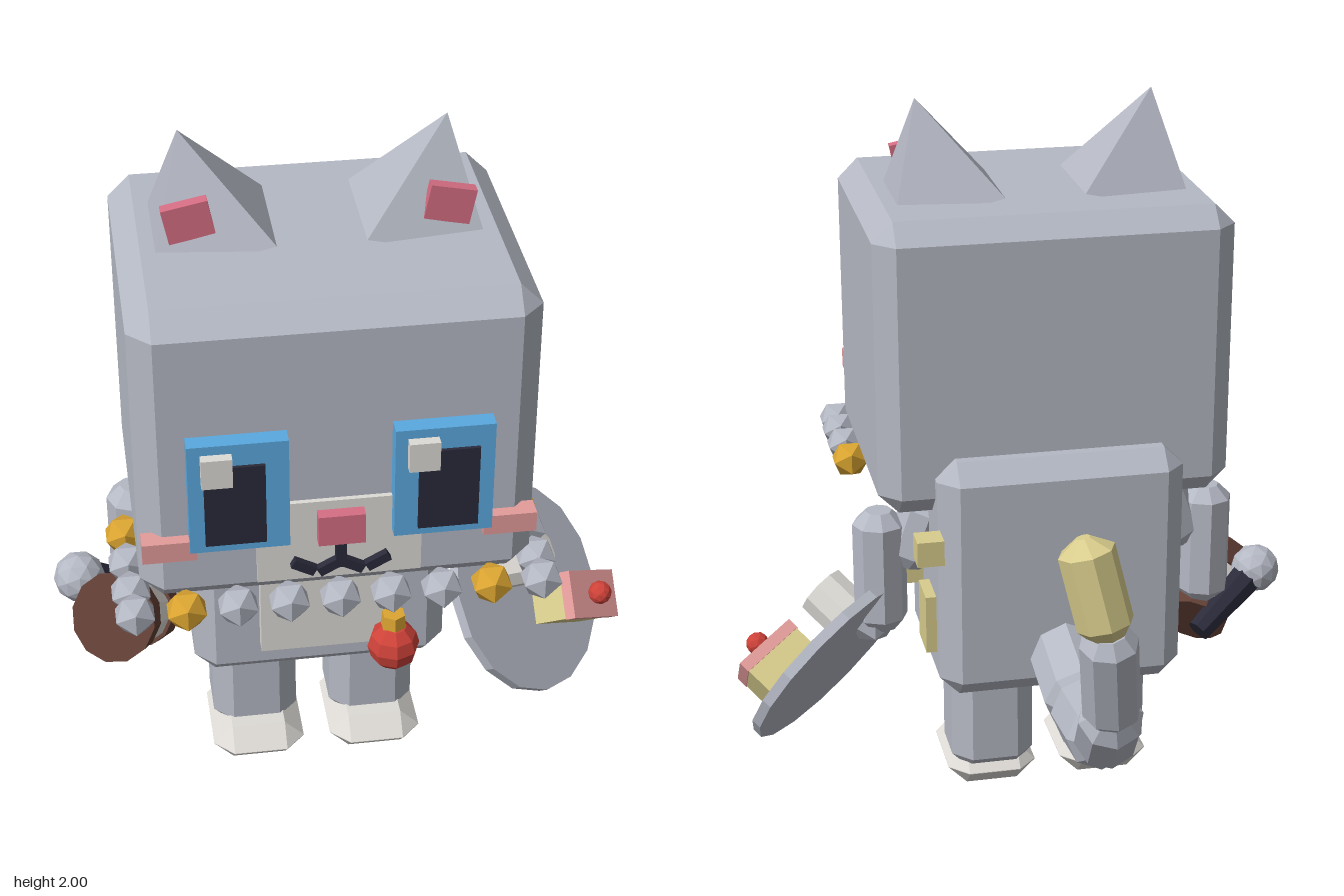
import * as THREE from 'three';
import { ConvexGeometry } from 'three/addons/geometries/ConvexGeometry.js';

const C = -0.087; // the body's own middle line
const V = (x, y, z) => new THREE.Vector3(x, y, z);
const UP = V(0, 1, 0);

export function createModel() {
  const root = new THREE.Group();
  root.name = 'boxyCat';
  const paint = (name, color) => {
    const m = new THREE.MeshStandardMaterial({ color });
    m.name = name;
    return m;
  };
  const grey = paint('greyFur', 0xb5b9c4), white = paint('cream', 0xdedbd6);
  const blue = paint('eyeBlue', 0x5aa9e0), dark = paint('nearBlack', 0x2a2a3a);
  const pink = paint('rosePink', 0xd66e84), blush = paint('blush', 0xe39c9a);
  const gold = paint('gold', 0xdba531), red = paint('red', 0xce4239);
  const khaki = paint('straw', 0xd8cc8c), brown = paint('brown', 0x613f35);

  const add = (name, geo, mat, pos = V(0, 0, 0), parent = root) => {
    const g = geo.index ? geo.toNonIndexed() : geo;
    g.computeVertexNormals(); // one normal per facet
    const m = new THREE.Mesh(g, mat);
    m.name = name;
    m.position.copy(pos);
    parent.add(m);
    return m;
  };
  // Box from its limits
  const box = (name, mat, x0, x1, y0, y1, z0, z1) =>
    add(name, new THREE.BoxGeometry(x1 - x0, y1 - y0, z1 - z0), mat,
      V((x0 + x1) / 2, (y0 + y1) / 2, (z0 + z1) / 2));
  // Box with all edges cut at 45 degrees
  const chamferBox = (name, mat, x0, x1, y0, y1, z0, z1, b) => {
    const pts = [], X = (x1 - x0) / 2, Y = (y1 - y0) / 2, Z = (z1 - z0) / 2;
    for (const i of [-1, 1]) for (const j of [-1, 1]) for (const k of [-1, 1])
      pts.push(V(i * X, j * (Y - b), k * (Z - b)), V(i * (X - b), j * Y, k * (Z - b)),
        V(i * (X - b), j * (Y - b), k * Z));
    return add(name, new ConvexGeometry(pts), mat, V((x0 + x1) / 2, (y0 + y1) / 2, (z0 + z1) / 2));
  };
  // Eight-sided limb piece with bevelled ends, from a to b
  const limb = (name, mat, a, b, r, tip = 0.6) => {
    const L = a.distanceTo(b), e = Math.min(r * 0.5, L / 3);
    const profile = [[0, 0], [r * 0.6, 0], [r, e], [r, L - e], [r * tip, L], [0, L]]
      .map(p => new THREE.Vector2(...p));
    const m = add(name, new THREE.LatheGeometry(profile, 8), mat, a);
    m.quaternion.setFromUnitVectors(UP, b.clone().sub(a).normalize());
    return m;
  };
  // Plain cylinder or cone frustum from a to b
  const rod = (name, mat, a, b, r0, r1, sides = 12) => {
    const m = add(name, new THREE.CylinderGeometry(r1, r0, a.distanceTo(b), sides), mat,
      a.clone().add(b).multiplyScalar(0.5));
    m.quaternion.setFromUnitVectors(UP, b.clone().sub(a).normalize());
    return m;
  };
  const ball = (name, mat, pos, r, detail = 0) =>
    add(name, new THREE.IcosahedronGeometry(r, detail), mat, pos);

  // Head, torso and belly
  chamferBox('head', grey, -0.58, 0.406, 0.915, 1.74, -0.052, 0.737, 0.057);
  chamferBox('torso', grey, -0.431, 0.257, 0.384, 1.085, -0.135, 0.41, 0.055);
  box('bellyPatch', white, -0.256, 0.08, 0.505, 0.93, 0.4, 0.45);

  // Face
  box('muzzle', white, -0.293, 0.115, 0.98, 1.21, 0.73, 0.75);
  box('nose', pink, C - 0.058, C + 0.058, 1.1, 1.185, 0.74, 0.783);
  box('mouthLine', dark, C - 0.013, C + 0.013, 1.02, 1.1, 0.745, 0.77);
  for (const s of [-1, 1]) {
    const side = s > 0 ? 'left' : 'right', x = o => C + s * o;
    const slab = (name, mat, mid, w, h, y, z0, z1) =>
      add(side + name, new THREE.BoxGeometry(w, h, z1 - z0), mat, V(mid, y, (z0 + z1) / 2));
    slab('EyeFrame', blue, x(0.249), 0.243, 0.308, 1.265, 0.73, 0.782);
    slab('Pupil', dark, x(0.259), 0.148, 0.225, 1.247, 0.77, 0.791);
    slab('EyeShine', white, s > 0 ? 0.108 : -0.389, 0.075, 0.08, 1.355, 0.775, 0.808);
    slab('Cheek', blush, x(0.42), 0.133, 0.055, 1.107, 0.715, 0.768);
    slab('MouthInner', dark, x(0.028), 0.062, 0.025, 1.022, 0.745, 0.77).rotation.z = -s * 0.5;
    slab('MouthOuter', dark, x(0.092), 0.062, 0.025, 1.026, 0.745, 0.77).rotation.z = s * 0.5;

    // Ears: four-sided cones leaning outwards
    const earGeo = new THREE.ConeGeometry(0.222, 0.29, 4, 1);
    earGeo.rotateY(Math.PI / 4);
    earGeo.translate(0, 0.145, 0);
    add(side + 'Ear', earGeo, grey, V(x(0.263), 1.715, 0.286)).rotation.z = -s * 0.225;
    slab('InnerEar', pink, x(0.318), 0.115, 0.092, 1.812, 0.378, 0.41).rotation.z = -s * 0.2;

    // Legs and feet
    chamferBox(side + 'Leg', grey, x(0.167) - 0.119, x(0.167) + 0.119, 0.05, 0.5, 0.022, 0.26, 0.053);
    chamferBox(side + 'Foot', white, x(0.167) - 0.129, x(0.167) + 0.129, 0, 0.11, 0.026, 0.355, 0.054);

    // Arms
    limb(side + 'Shoulder', grey, V(x(0.33), 0.9, 0.137), V(x(0.4), 0.7, 0.137), 0.075);
    limb(side + 'Arm', grey, V(x(0.475), 0.51, 0.137), V(x(0.475), 0.87, 0.137), 0.076, 0.5);
    ball(side + 'Wrist', grey, V(x(0.5), 0.53, 0.15), 0.075);
  }

  // Collar of beads around the front half of the neck
  for (let i = 0; i < 9; i++)
    ball('collarBead', i === 1 || i === 7 ? gold : grey, V(C + (i - 4) * 0.128, 0.915, 0.752), 0.056);
  for (const s of [-1, 1]) [0.42, 0.542, 0.66].forEach((z, i) =>
    ball('sideBead', i ? grey : gold, V(C + s * 0.516, 0.915, z), 0.056));
  rod('bellLoop', gold, V(0.04, 0.83, 0.8), V(0.04, 0.885, 0.8), 0.035, 0.03, 6);
  add('bell', new THREE.SphereGeometry(0.066, 8, 6), red, V(0.04, 0.79, 0.804));

  // Straw-coloured patches on the flanks
  box('leftUpperPatch', khaki, 0.24, 0.29, 0.775, 0.92, 0.12, 0.275);
  box('leftBackPatch', khaki, 0.252, 0.326, 0.82, 0.892, -0.16, -0.086);
  box('leftFrontPatch', khaki, 0.246, 0.32, 0.615, 0.692, 0.18, 0.255);
  box('leftLowerPatch', khaki, 0.24, 0.287, 0.5, 0.67, -0.04, 0.08);
  box('rightLowerPatch', khaki, -0.46, -0.42, 0.475, 0.64, 0.14, 0.28);
  box('rightUpperPatch', khaki, -0.455, -0.42, 0.64, 0.76, 0.04, 0.13);

  // Tail of linked pieces with a straw tip
  const tail = [V(-0.09, 0.51, -0.08), V(-0.09, 0.455, -0.35), V(-0.095, 0.475, -0.58),
    V(-0.075, 0.63, -0.725), V(-0.045, 0.89, -0.8), V(0.015, 1.15, -0.765)];
  [0.1, 0.097, 0.085, 0.076, 0.073].forEach((r, i) => {
    const dir = tail[i + 1].clone().sub(tail[i]).normalize().multiplyScalar(i < 4 ? 0.02 : 0);
    limb(i < 4 ? 'tailPiece' : 'tailTip', i < 4 ? grey : khaki,
      tail[i].clone().sub(dir), tail[i + 1].clone().add(dir), r, i < 4 ? 0.6 : 0.25);
  });

  // Left hand: paw, tray and a slice of cake with a berry
  const n = V(0.62, 0.55, 0.56).normalize();
  const along = (p, d, t) => p.clone().addScaledVector(d, t);
  const trayMid = V(0.535, 0.41, 0.16);
  rod('tray', grey, along(trayMid, n, -0.015), along(trayMid, n, 0.015), 0.3, 0.3, 16);
  const paw = V(0.508, 0.555, 0.21);
  rod('leftPaw', white, along(paw, n, -0.07), along(paw, n, 0.06), 0.078, 0.078, 10);
  const cake = new THREE.Group();
  cake.name = 'cake';
  const e = V(0.785, -0.415, -0.46);
  e.addScaledVector(n, -e.dot(n)).normalize();
  cake.quaternion.setFromRotationMatrix(
    new THREE.Matrix4().makeBasis(e, n, e.clone().cross(n)));
  cake.position.set(0.63, 0.34, 0.15);
  root.add(cake);
  add('sponge', new THREE.BoxGeometry(0.19, 0.12, 0.13), khaki, V(0, 0.055, 0), cake);
  add('icing', new THREE.BoxGeometry(0.195, 0.035, 0.135), blush, V(0, 0.13, 0), cake);
  add('berry', new THREE.IcosahedronGeometry(0.034, 1), red, V(0, 0.17, 0), cake);

  // Right hand: banded cup and a ball-headed microphone
  const d = V(-0.45, 0.5, 0.74).normalize();
  const rim = V(-0.645, 0.555, 0.31);
  rod('cupTop', brown, along(rim, d, -0.07), rim, 0.112, 0.125);
  rod('cupBand', white, along(rim, d, -0.17), along(rim, d, -0.07), 0.092, 0.105);
  rod('cupBase', brown, along(rim, d, -0.24), along(rim, d, -0.17), 0.095, 0.102);
  const head = V(-0.727, 0.58, 0.148);
  rod('microphoneHandle', dark, V(-0.53, 0.44, 0.05), head, 0.035, 0.052, 8);
  ball('microphoneHead', grey, head, 0.071, 1);
  return root;
}
